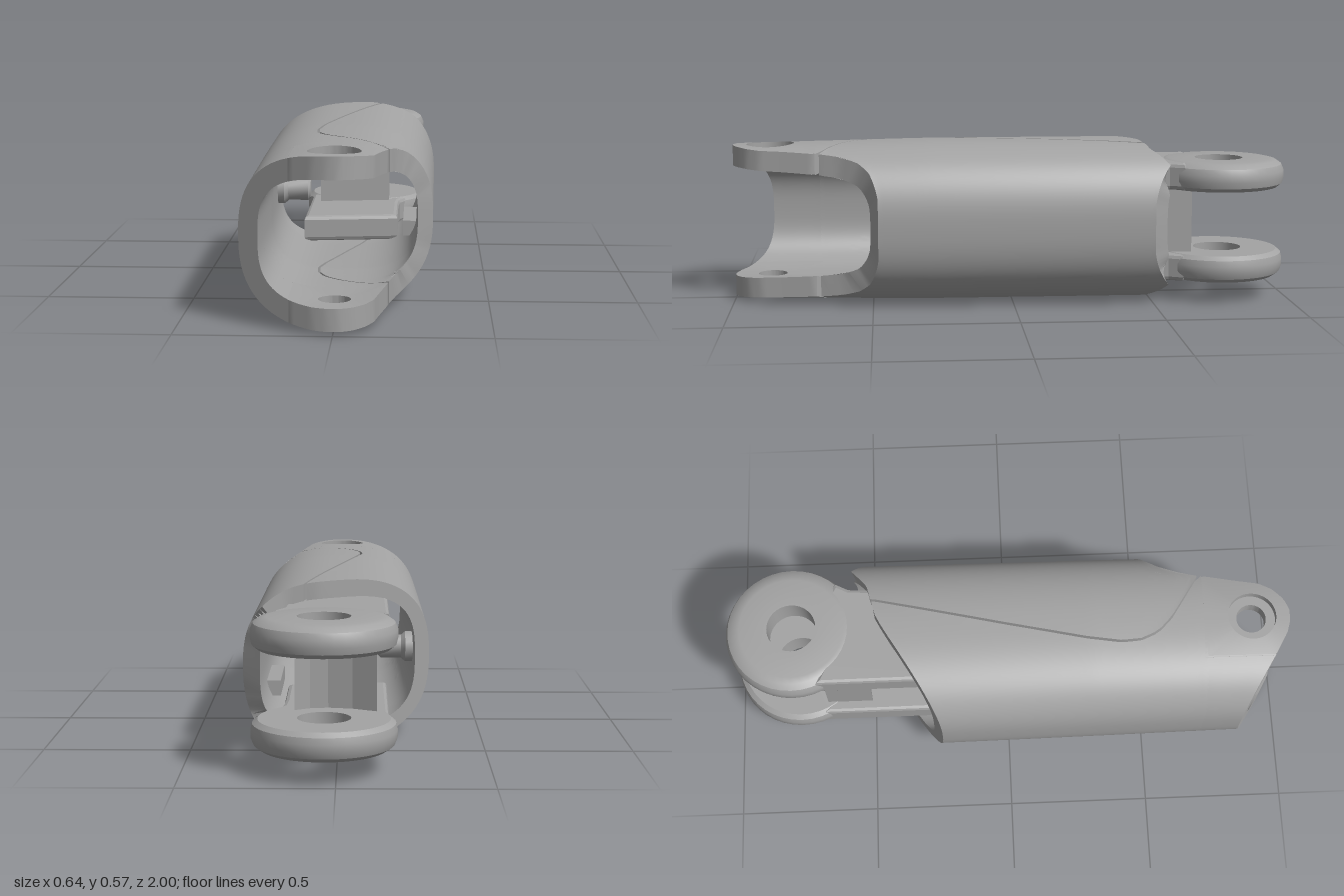
import * as THREE from 'three';
import { toCreasedNormals } from 'three/addons/utils/BufferGeometryUtils.js';

const CY = 0.29; // height of the sleeve axis

// Piecewise linear curve through [input, output] pairs
function curve(pts) {
  return (v) => {
    if (v <= pts[0][0]) return pts[0][1];
    for (let i = 1; i < pts.length; i++) {
      const [a, fa] = pts[i - 1], [b, fb] = pts[i];
      if (v <= b) return fa + (fb - fa) * (v - a) / (b - a);
    }
    return pts[pts.length - 1][1];
  };
}

const seam = curve([[-0.47, 0.11], [0, 0], [0.28, -0.062], [0.4, -0.08], [0.47, -0.075],
  [0.53, -0.05], [0.58, 0], [0.62, 0.06], [0.69, 0.17]]);
const bodyBack = curve([[-0.32, -0.24], [0, -0.435], [0.06, -0.465], [0.12, -0.475]]);
const coverBack = curve([[0.06, -0.465], [0.17, -0.49], [0.25, -0.55], [0.315, -0.49]]);
const coverFront = curve([[0.17, 0.685], [0.185, 0.62], [0.22, 0.55], [0.255, 0.51], [0.3, 0.48]]);
const cheekFront = curve([[-0.31, 0.83], [-0.14, 0.94]]);

// Half width, half height and exponent of the rounded section
function section(z, inner, leftSide) {
  if (!inner) {
    const k = (z + 0.5) / 1.4;
    return { a: 0.32 - 0.013 * k, b: z > 0.3 ? 0.287 - 0.012 * (z - 0.3) / 0.6 : 0.287, n: 2.55 };
  }
  const k = THREE.MathUtils.clamp((0.4 - z) / 0.6, 0, 1);
  return { a: leftSide ? 0.242 + 0.025 * k : 0.26, b: 0.2 + 0.028 * k, n: 3 };
}

function surfaceY(x, z, inner) {
  const { a, b, n } = section(z, inner, x < 0);
  return b * Math.pow(Math.max(0, 1 - Math.pow(Math.abs(x) / a, n)), 1 / n);
}

// Skin equal loops; the ends are closed by pairing the two halves of a loop
function loft(rings, closed) {
  const m = rings[0].length, count = rings.length, pos = rings.flat(2);
  let idx = [];
  const quad = (a, b, c, d) => idx.push(a, b, c, a, c, d);
  for (let i = 0; i < (closed ? count : count - 1); i++) {
    for (let j = 0; j < m; j++) {
      const r = i * m, s = ((i + 1) % count) * m, k = (j + 1) % m;
      quad(r + j, r + k, s + k, s + j);
    }
  }
  if (!closed) {
    const e = (count - 1) * m;
    for (let j = 0; j < m / 2 - 1; j++) {
      const p = m - 1 - j, q = m - 2 - j;
      quad(j, p, q, j + 1);
      quad(e + j, e + j + 1, e + q, e + p);
    }
  }
  // Turn the faces outward if the enclosed volume is negative
  const v = (i) => new THREE.Vector3().fromArray(pos, i * 3);
  let volume = 0;
  for (let i = 0; i < idx.length; i += 3) volume += v(idx[i]).dot(v(idx[i + 1]).cross(v(idx[i + 2])));
  if (volume < 0) idx.reverse();
  const g = new THREE.BufferGeometry();
  g.setAttribute('position', new THREE.Float32BufferAttribute(pos, 3));
  g.setIndex(idx);
  return toCreasedNormals(g, 0.6);
}

// Walled part of the sleeve on one side of an edge line, between two end lines
function sleevePart({ back, front, edge, left, rows, cols }) {
  const rings = [];
  for (let i = 0; i <= rows; i++) {
    const t = i / rows, ring = [];
    const zAt = (x) => THREE.MathUtils.lerp(back(x), front(x), t);
    for (const inner of [false, true]) {
      let x = 0, z = 0;
      for (let k = 0; k < 12; k++) { z = zAt(x); x = edge(z); }
      const s = section(z, inner, x < 0);
      const start = Math.acos(Math.sign(x) * Math.pow(Math.min(1, Math.abs(x) / s.a), s.n / 2));
      const end = left ? 2 * Math.PI - start : -start;
      const side = [];
      for (let j = 0; j <= cols; j++) {
        const th = start + (end - start) * j / cols, c = Math.cos(th), sn = Math.sin(th);
        let px = x, pz = z, sec = s;
        for (let k = 0; k < 5; k++) {
          sec = section(pz, inner, c < 0);
          px = sec.a * Math.sign(c) * Math.pow(Math.abs(c), 2 / sec.n);
          pz = zAt(px);
        }
        side.push([px, CY + sec.b * Math.sign(sn) * Math.pow(Math.abs(sn), 2 / sec.n), pz]);
      }
      ring.push(...(inner ? side.reverse() : side));
    }
    rings.push(ring);
  }
  return loft(rings, false);
}

// Pierced front lug with a counterbore, following the sleeve surface
function lug(sign) {
  const cz = 0.865;
  const pts = [[-0.145, 0.69], [0.166, 0.7], [0.14, 0.82], [0.125, 0.9], [0.1, 0.945], [0.06, 0.982],
    [0.02, 0.998], [-0.02, 0.998], [-0.065, 0.984], [-0.145, 0.937], [-0.145, 0.69]];
  const outline = new THREE.Path(pts.map((p) => new THREE.Vector2(...p))).getSpacedPoints(64).slice(0, -1);
  const rings = outline.map((p) => {
    const th = Math.atan2(p.y - cz, p.x), c = Math.cos(th), s = Math.sin(th);
    const at = (r, y) => [r * c, y, cz + r * s];
    const R = Math.hypot(p.x, p.y - cz);
    const skin = (r, inner) => at(r, CY + sign * surfaceY(r * c, cz + r * s, inner));
    const step = CY + sign * 0.245;
    return [skin(0.052, true), at(0.052, step), at(0.085, step), skin(0.085, false),
      skin((R + 0.085) / 2, false), skin(R, false), skin(R, true), skin((R + 0.052) / 2, true)];
  });
  return loft(rings, true);
}

export function createModel() {
  const model = new THREE.Group();
  model.name = 'forkedSleeveLink';
  const grey = new THREE.MeshStandardMaterial({ color: 0xa3a3a3 });
  grey.name = 'grey';
  const add = (name, geometry, x = 0, y = 0, z = 0) => {
    const mesh = new THREE.Mesh(geometry, grey);
    mesh.name = name;
    mesh.position.set(x, y, z);
    model.add(mesh);
    return mesh;
  };

  // Sleeve: main body, its front cheek, and the side cover beyond the seam gap
  add('sleeveBody', sleevePart({ back: bodyBack, front: () => 0.7, edge: (z) => seam(z) - 0.004,
    left: true, rows: 48, cols: 48 }));
  add('frontCheek', sleevePart({ back: () => 0.695, front: cheekFront, edge: () => -0.14,
    left: true, rows: 4, cols: 32 }));
  add('sideCover', sleevePart({ back: coverBack, front: coverFront, edge: (z) => seam(z) + 0.005,
    left: false, rows: 48, cols: 48 }));

  // Fork arm outline in plan
  const arm = new THREE.Shape([[-0.17, -0.15], [-0.17, -0.68], [-0.1, -0.65], [0.04, -0.62],
    [0.14, -0.65], [0.21, -0.61], [0.185, -0.56], [0.18, -0.48], [0.18, -0.2]]
    .map((p) => new THREE.Vector2(...p)));
  const armGeo = new THREE.ExtrudeGeometry(arm, { depth: 0.066, bevelThickness: 0.015,
    bevelSize: 0.015, bevelOffset: -0.015, bevelSegments: 2 });
  armGeo.translate(0, 0, -0.033).rotateX(Math.PI / 2);

  // Fork eye: ring with a rounded rim and a plain bore
  const eyeProfile = [[0.087, -0.05], [0.215, -0.05], [0.232, -0.036], [0.237, -0.015], [0.237, 0.01],
    [0.228, 0.032], [0.208, 0.046], [0.185, 0.051], [0.087, 0.051], [0.087, -0.05]];
  const eyeGeo = toCreasedNormals(new THREE.LatheGeometry(
    eyeProfile.map((p) => new THREE.Vector2(...p)), 40), 0.5);

  for (const sign of [1, -1]) {
    const label = sign > 0 ? 'upper' : 'lower';
    add(label + 'FrontLug', lug(sign));
    add(label + 'ForkArm', armGeo, 0, CY + sign * 0.165, 0);
    const eye = add(label + 'ForkEye', eyeGeo, 0.04, CY + sign * 0.165, -0.764);
    if (sign < 0) eye.rotation.x = Math.PI;
    // Small rib inside the cover
    add(label + 'CoverRib', new THREE.BoxGeometry(0.05, 0.055, 0.3), 0.23, CY + sign * 0.122, -0.1);
  }

  // Web joining the fork arms, hollowed toward the eyes
  const web = new THREE.Shape([[-0.13, -0.5], [-0.13, -0.665], [-0.05, -0.625], [0.03, -0.61],
    [0.09, -0.62], [0.14, -0.65], [0.14, -0.54]].map((p) => new THREE.Vector2(...p)));
  const webGeo = new THREE.ExtrudeGeometry(web, { depth: 0.26, bevelEnabled: false });
  webGeo.translate(0, 0, -0.13).rotateX(Math.PI / 2);
  add('forkWeb', webGeo, 0, CY, 0);

  // Inner peg with a flared root and chamfered tip
  const pegGeo = toCreasedNormals(new THREE.LatheGeometry([[0.055, -0.05], [0.055, 0.015], [0.042, 0.03],
    [0.042, 0.103], [0.033, 0.112], [0, 0.112]].map((p) => new THREE.Vector2(...p)), 16), 0.5);
  pegGeo.rotateZ(-Math.PI / 2);
  add('innerPeg', pegGeo, -0.252, CY, -0.08);

  return model;
}
